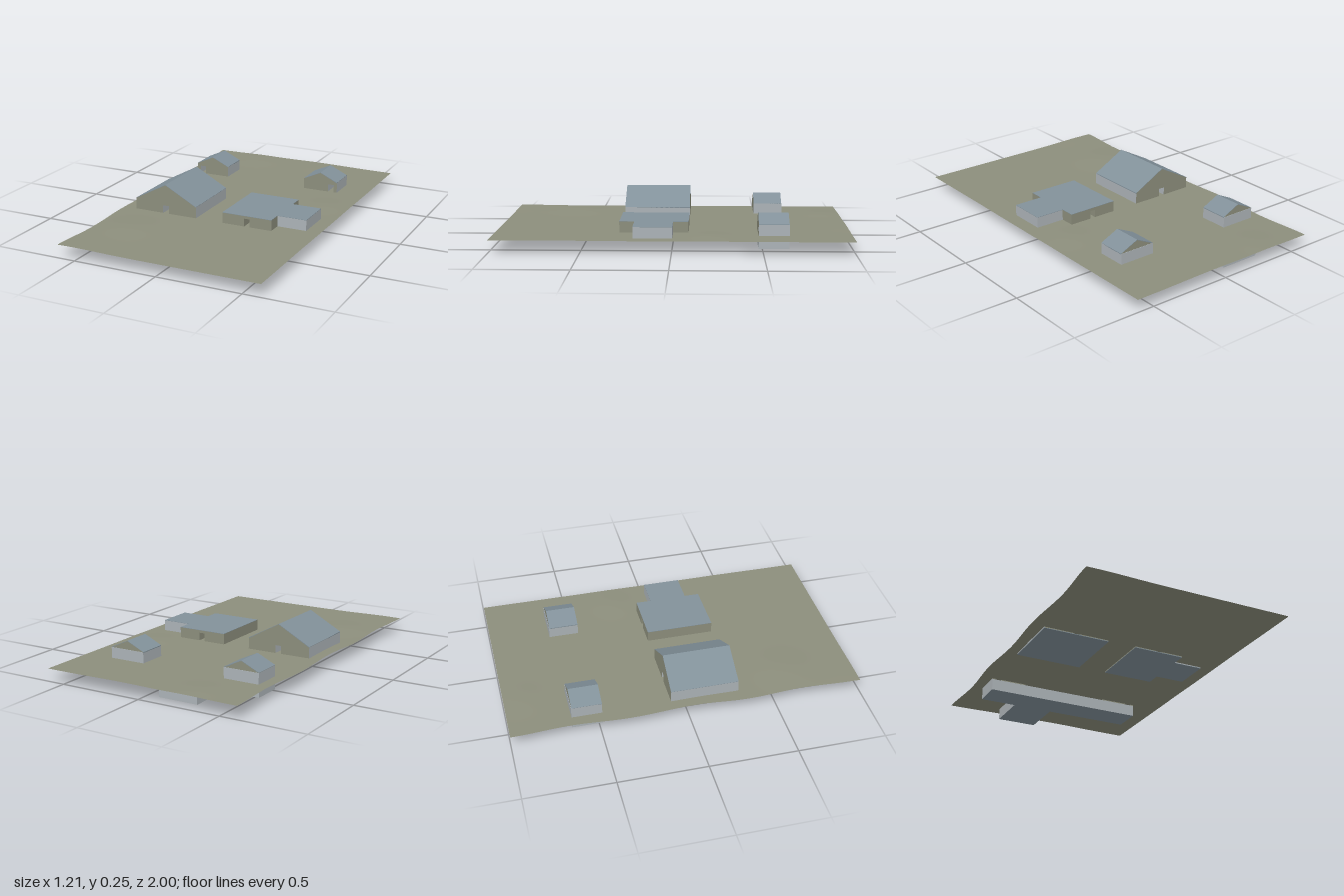
import * as THREE from 'three';

const mat = (name, color, side = THREE.FrontSide) => {
  const m = new THREE.MeshStandardMaterial({ color, side });
  m.name = name;
  return m;
};

export function createModel() {
  const olive = mat('olive ground and facade', 0x8c8e7c, THREE.DoubleSide);
  const light = mat('light grey wall', 0xacb3b7);
  const slate = mat('slate roof', 0x82919a);

  const model = new THREE.Group();
  const add = (parent, name, geometry, material) => {
    const mesh = new THREE.Mesh(geometry, material);
    mesh.name = name;
    parent.add(mesh);
    return mesh;
  };
  const shapeOf = pts => new THREE.Shape(pts.map(p => new THREE.Vector2(p[0], p[1])));

  // Upright prism from a plan outline in (x, z)
  const prism = (pts, top, height) =>
    new THREE.ExtrudeGeometry(shapeOf(pts), { depth: height, bevelEnabled: false })
      .rotateX(Math.PI / 2).translate(0, top, 0);

  // Elevation in (x, y) extruded from z0 to z1
  const elevation = (pts, z0, z1) =>
    new THREE.ExtrudeGeometry(shapeOf(pts), { depth: z1 - z0, bevelEnabled: false }).translate(0, 0, z0);

  const rect = (x0, x1, z0, z1) => [[x0, z0], [x1, z0], [x1, z1], [x0, z1]];
  const base = 0.068, doorTop = 0.12;

  // House body with a doorway, gable ends and two roof slopes
  function gableHouse(name, x0, x1, z0, z1, eave, ridge, d0, d1, closedBack) {
    const g = new THREE.Group();
    g.name = name;
    model.add(g);
    const xm = (x0 + x1) / 2, t = 0.003;
    const body = [[x0, base], [d0, base], [d0, doorTop], [d1, doorTop], [d1, base],
      [x1, base], [x1, eave], [xm, ridge - t], [x0, eave]];
    add(g, 'houseWalls', elevation(body, z0, z1), [olive, light]);
    for (const [side, e] of [['right', x0], ['left', x1]]) {
      const slope = [[e, eave - t], [xm, ridge - t], [xm, ridge], [e, eave + t / 2]];
      add(g, side + 'RoofSlope', elevation(slope, z0, z1), slate);
    }
    if (closedBack) {
      add(g, 'backWall', new THREE.BoxGeometry(x1 - x0, eave - base, 0.002)
        .translate(xm, (eave + base) / 2, z0 - 0.001), light);
    }
    return g;
  }

  const bigHouse = gableHouse('largeHouse', -0.525, -0.13, -0.09, 0.30, 0.139, 0.247, -0.345, -0.307, false);
  add(bigHouse, 'houseFloor', prism(rect(-0.525, -0.13, -0.09, 0.30), 0.07, 0.004), slate);
  gableHouse('smallHouseRight', -0.525, -0.31, -0.65, -0.48, 0.136, 0.188, -0.505, -0.467, true);
  gableHouse('smallHouseLeft', 0.215, 0.433, -0.65, -0.48, 0.136, 0.188, 0.375, 0.413, true);

  // Flat-roofed building with a side wing
  const flat = new THREE.Group();
  flat.name = 'flatBuilding';
  model.add(flat);
  const h = 0.135;
  add(flat, 'mainWalls', elevation([[0.04, base], [0.177, base], [0.177, doorTop], [0.212, doorTop],
    [0.212, base], [0.345, base], [0.345, h], [0.04, h]], -0.09, 0.30), olive);
  add(flat, 'wingWalls', prism(rect(0.345, 0.52, -0.003, 0.215), h, h - base), light);
  const plan = [[0.04, -0.09], [0.345, -0.09], [0.345, -0.003], [0.52, -0.003],
    [0.52, 0.215], [0.345, 0.215], [0.345, 0.30], [0.04, 0.30]];
  add(flat, 'flatRoof', prism(plan, h + 0.002, 0.002), slate);
  add(flat, 'flatFloor', prism(plan, 0.07, 0.004), slate);

  // Underground level linking the two small houses
  const cellar = [[-0.525, -0.65], [-0.31, -0.65], [-0.31, -0.91], [-0.07, -0.91],
    [-0.07, -0.65], [0.433, -0.65], [0.433, -0.48], [-0.525, -0.48]];
  add(model, 'cellar', prism(cellar, base, base), [slate, light]);

  // Gently rolling ground with a wavy right edge; [x, z, radius, height]
  const bumps = [[-0.4, 0.6, 0.16, 0.009], [0.45, -0.22, 0.12, 0.006], [-0.3, -0.9, 0.14, 0.006],
    [-0.6, 0.1, 0.15, 0.004], [-0.5, 1.0, 0.2, 0.005], [0.1, -1.0, 0.25, 0.005], [0.5, 0.5, 0.2, 0.002]];
  const ground = new THREE.PlaneGeometry(1.21, 2, 32, 52).rotateX(-Math.PI / 2);
  const p = ground.attributes.position;
  for (let i = 0; i < p.count; i++) {
    const x = p.getX(i), z = p.getZ(i);
    let y = 0.073;
    for (const [bx, bz, r, k] of bumps) y += k * Math.exp(-((x - bx) ** 2 + (z - bz) ** 2) / (r * r));
    p.setY(i, y);
    if (x < -0.6) p.setX(i, x + 0.008 * (1 - Math.cos((z + 1) * Math.PI * 3)));
  }
  ground.computeVertexNormals();
  add(model, 'ground', ground, olive);

  return model;
}
